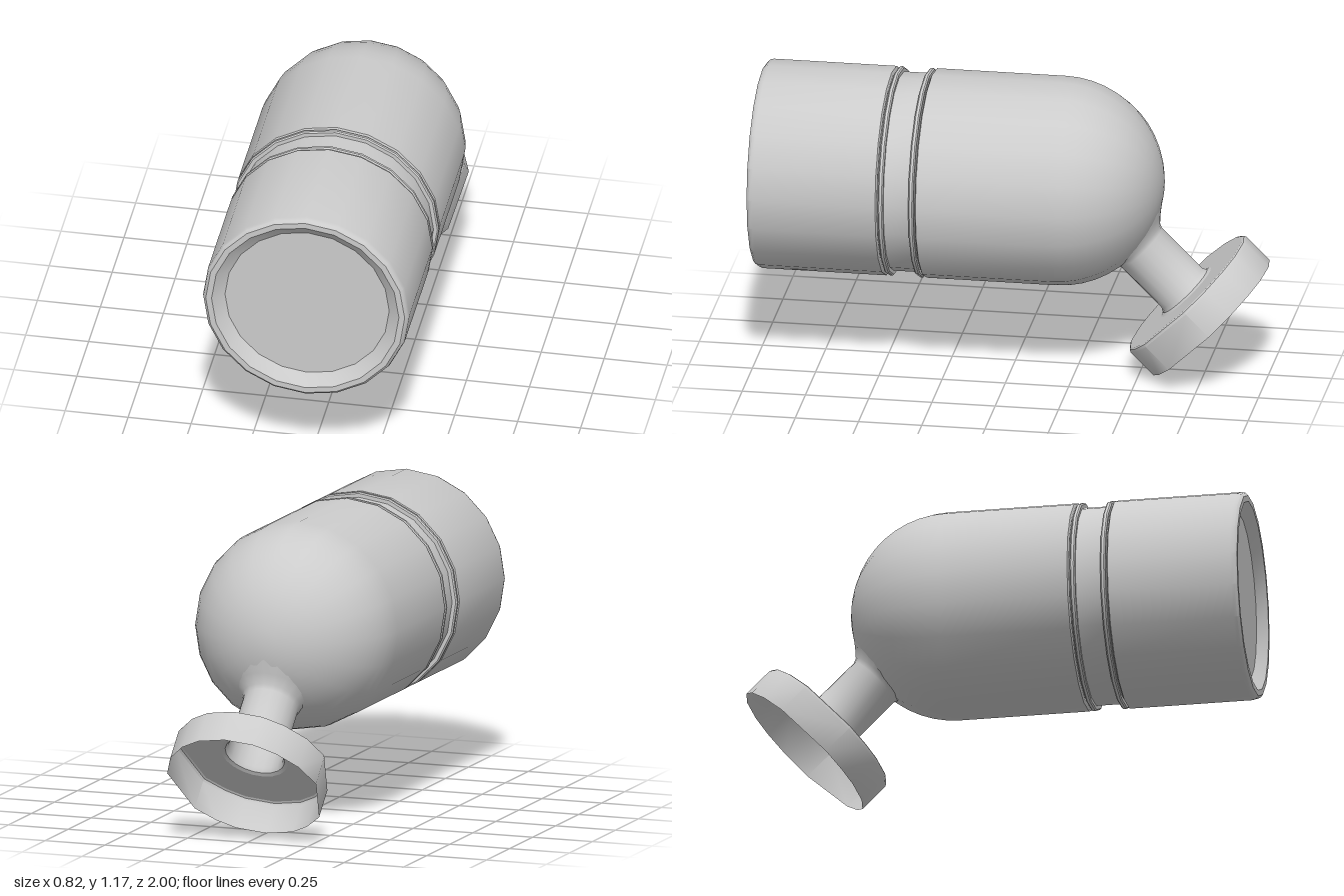
import * as THREE from 'three';
import { toCreasedNormals } from 'three/addons/utils/BufferGeometryUtils.js';

const SIDES = 20;
const material = new THREE.MeshStandardMaterial({ color: 0xcccccc, side: THREE.DoubleSide });

function part(name, geometry) {
  const mesh = new THREE.Mesh(toCreasedNormals(geometry, 0.6), material);
  mesh.name = name;
  return mesh;
}

// profile: [radius, height] pairs
const turned = (name, profile) =>
  part(name, new THREE.LatheGeometry(profile.map(([r, h]) => new THREE.Vector2(r, h)), SIDES));

// Mounting foot outline: rounded, with a long flat on each side
const half = [[0, 0.32], [0.115, 0.298], [0.195, 0.248], [0.268, 0.165], [0.311, 0.055],
  [0.26, -0.18], [0.19, -0.252], [0.118, -0.297], [0, -0.32]];
const outline = [...half, ...half.slice(1, -1).reverse().map(([x, v]) => [-x, v])];

// Wall through scaled copies of the outline; rings: [scale, height]
function loft(rings) {
  const positions = [], index = [], n = outline.length;
  rings.forEach(([s, h]) => outline.forEach(([x, v]) => positions.push(x * s, h, -v * s)));
  for (let k = 0; k < rings.length - 1; k++) {
    for (let i = 0; i < n; i++) {
      const a = k * n + i, b = k * n + (i + 1) % n;
      index.push(a, a + n, b, b, a + n, b + n);
    }
  }
  const g = new THREE.BufferGeometry();
  g.setAttribute('position', new THREE.Float32BufferAttribute(positions, 3));
  g.setIndex(index);
  return g;
}

export function createModel() {
  const model = new THREE.Group();
  model.name = 'spotlight';

  // Lamp head, turned about its long axis
  const head = new THREE.Group();
  head.name = 'lampHead';
  head.rotation.x = Math.PI / 2;
  head.position.y = 0.767;
  model.add(head);

  // Domed rear housing
  const R = 0.41, dome = [];
  for (let i = 0; i <= 12; i++) {
    const a = (i / 12) * Math.PI / 2;
    dome.push([R * Math.sin(a), -0.18 - 0.405 * Math.cos(a)]);
  }
  head.add(turned('rearHousing', [...dome, [R, 0.33], [0.4, 0.335], [0.39, 0.335]]));

  // Recessed band between two trim rings
  head.add(turned('band', [[0.39, 0.33], [0.39, 0.49]]));
  for (const [name, z] of [['rearTrimRing', 0.34], ['frontTrimRing', 0.46]]) {
    head.add(turned(name, [[0.39, z], [0.405, z], [R, z + 0.005], [R, z + 0.015], [0.405, z + 0.02], [0.39, z + 0.02]]));
  }

  // Front sleeve with rounded lip and tapered reflector edge
  head.add(turned('frontSleeve', [[0.39, 0.485], [0.4, 0.485], [R, 0.49], [R, 0.975], [0.406, 0.99], [0.395, 1],
    [0.372, 1], [0.326, 0.96]]));
  head.add(turned('lens', [[0.326, 0.96], [0, 0.96]]));

  // Angled mount: local y runs from the foot up into the dome
  const mount = new THREE.Group();
  mount.name = 'mount';
  mount.rotation.x = Math.PI / 4;
  mount.position.set(0, 0.23, -0.775);
  model.add(mount);

  // Hollow foot, open underneath
  mount.add(part('footWall', loft([[1, 0], [1, 0.128], [0.985, 0.138], [0.96, 0.142]])));
  const shape = new THREE.Shape(outline.map(([x, v]) => new THREE.Vector2(x * 0.96, v * 0.96)));
  const hole = new THREE.Path();
  hole.absarc(0, 0, 0.135, 0, Math.PI * 2, true);
  shape.holes.push(hole);
  const plate = new THREE.ShapeGeometry(shape, SIDES / 2);
  plate.rotateX(-Math.PI / 2).translate(0, 0.142, 0);
  mount.add(part('footPlate', plate));

  // Hollow neck, flared at both ends
  mount.add(turned('neck', [[0.136, 0.142], [0.12, 0.148], [0.111, 0.165], [0.11, 0.39], [0.118, 0.408],
    [0.15, 0.437], [0.19, 0.468], [0.23, 0.505]]));

  return model;
}
